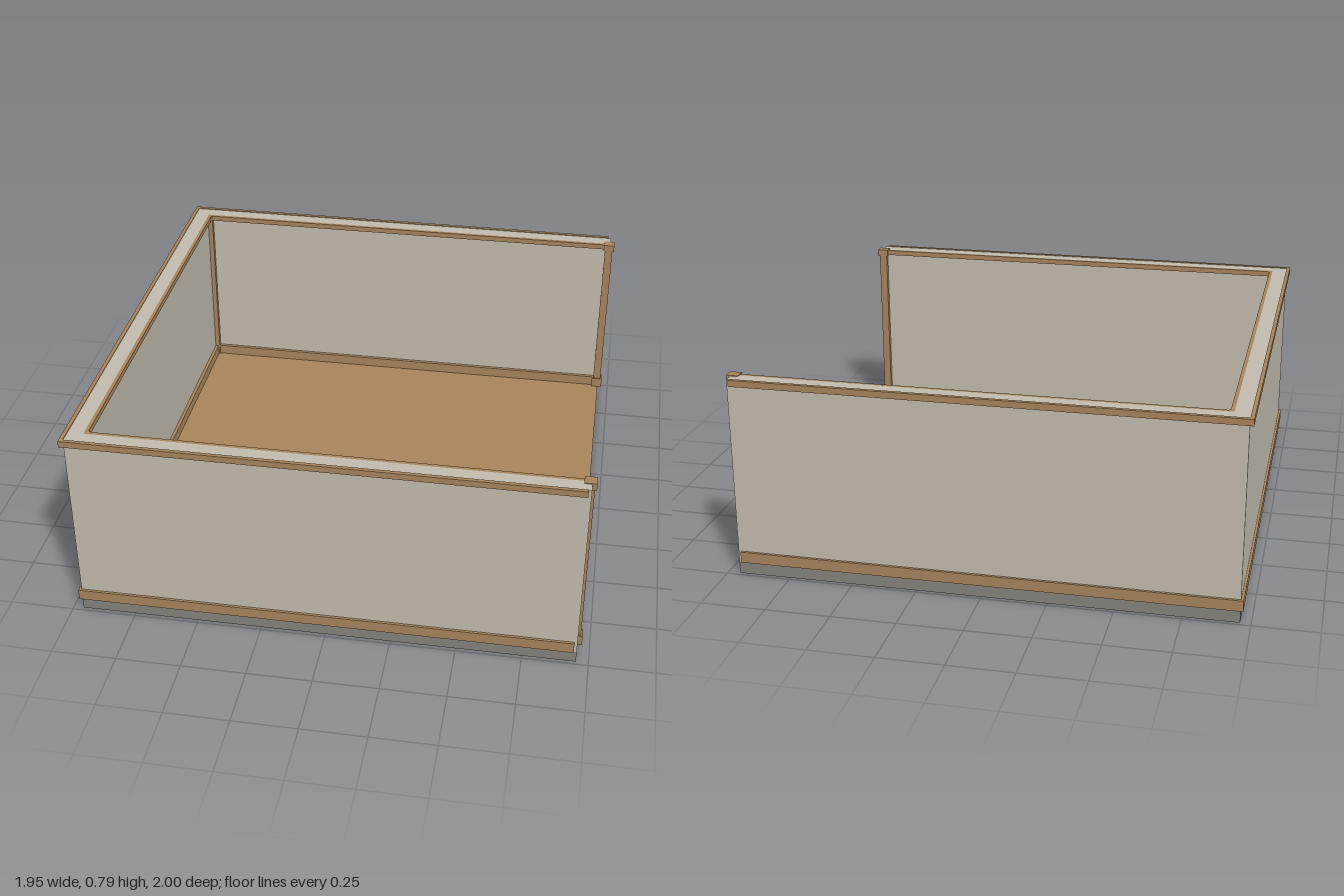
import * as THREE from 'three';

export function createModel() {
  const room = new THREE.Group();
  room.name = 'room';
  const mat = (name, color) => {
    const m = new THREE.MeshStandardMaterial({ color });
    m.name = name;
    return m;
  };
  const plaster = mat('plaster', 0xc2bbae);
  const wood = mat('wood', 0xa8845c);
  const stone = mat('stone', 0x85837d);

  // Box given by its limits on each axis
  const box = (name, material, [x0, x1], [y0, y1], [z0, z1]) => {
    const g = new THREE.BoxGeometry(x1 - x0, y1 - y0, z1 - z0);
    g.translate((x0 + x1) / 2, (y0 + y1) / 2, (z0 + z1) / 2);
    const m = new THREE.Mesh(g, material);
    m.name = name;
    room.add(m);
  };
  const side = (s, a, b) => (s > 0 ? [a, b] : [-b, -a]);

  const base = [0.05, 0.093], crown = [0.765, 0.787];
  // Outer rails end in a plaster-coloured face
  const railEnd = [plaster, wood, wood, wood, wood, wood];

  // Floor
  box('slab', stone, [-0.96, 0.953], [0, 0.047], [-0.985, 0.985]);
  box('floorBoards', wood, [-0.9, 0.953], [0.047, 0.05], [-0.93, 0.93]);

  // End wall with rails inside and outside
  box('endWall', plaster, [-0.96, -0.9], [0.047, 0.787], [-0.985, 0.985]);
  box('endBaseInner', wood, [-0.9, -0.886], base, [-0.93, 0.93]);
  box('endCrownInner', wood, [-0.9, -0.886], crown, [-0.93, 0.93]);
  box('endBaseOuter', wood, [-0.97, -0.96], base, [-0.995, 0.995]);
  box('endCrownOuter', wood, [-0.975, -0.96], [0.765, 0.79], [-1, 1]);

  // Side walls, mirrored front and back
  for (const s of [1, -1]) {
    box('sideWall', plaster, [-0.9, 0.953], [0.047, 0.787], side(s, 0.93, 0.985));
    box('sideBaseInner', wood, [-0.9, 0.935], base, side(s, 0.916, 0.93));
    box('sideCrownInner', wood, [-0.9, 0.935], crown, side(s, 0.916, 0.93));
    box('sideBaseOuter', railEnd, [-0.97, 0.942], base, side(s, 0.985, 0.995));
    box('sideCrownOuter', railEnd, [-0.975, 0.942], [0.765, 0.79], side(s, 0.985, 1));

    // Corner bead and the trim around the open end
    box('cornerBead', wood, [-0.9, -0.88], [0.05, 0.787], side(s, 0.91, 0.93));
    box('openingPost', wood, [0.93, 0.963], [0.05, 0.787], side(s, 0.91, 0.942));
    box('postFoot', wood, [0.924, 0.97], base, side(s, 0.904, 0.947));
    box('postHead', wood, [0.924, 0.97], [0.762, 0.79], side(s, 0.904, 0.947));
  }
  return room;
}
